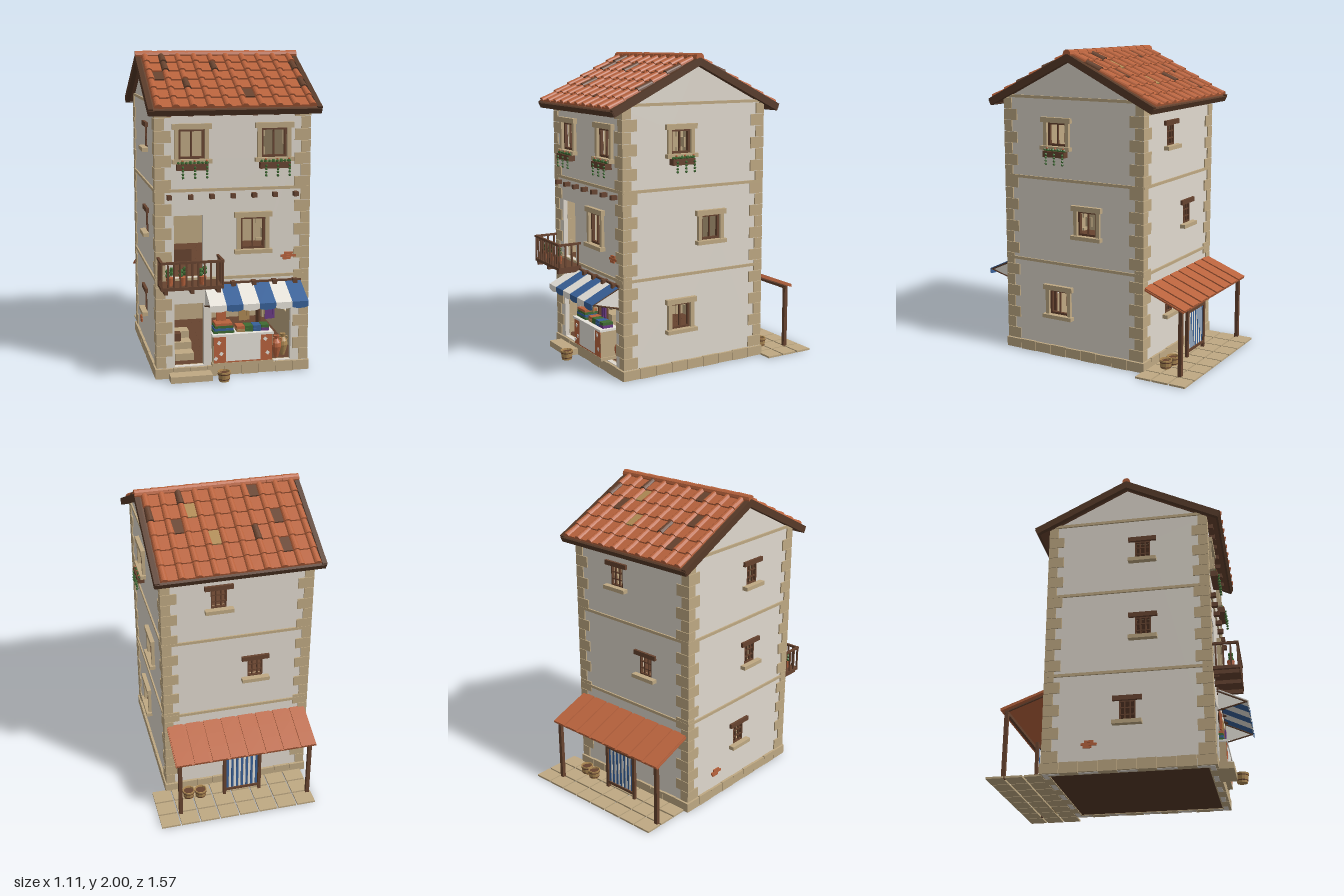
import * as THREE from 'three';

const M = {};
for (const [name, hex] of Object.entries({
  plaster: 0xe0d9ce, stone: 0xbfa983, terracotta: 0xb9633d, wood: 0x67432f, darkWood: 0x573a28,
  ochre: 0xaf8a54, blue: 0x386199, white: 0xe8e4dc, green: 0x3f6b33, purple: 0x6b3a86,
})) M[name] = Object.assign(new THREE.MeshStandardMaterial({ color: hex, side: THREE.DoubleSide, flatShading: true }), { name });

const CX = -0.022, CZ = 0.072, HX = 0.475, HZ = 0.51, PITCH = 0.46;

function add(parent, name, geo, mat, x = 0, y = 0, z = 0) {
  const m = new THREE.Mesh(geo, M[mat]);
  m.name = name;
  m.position.set(x, y, z);
  parent.add(m);
  return m;
}
const box = (p, name, mat, w, h, d, x, y, z) => add(p, name, new THREE.BoxGeometry(w, h, d), mat, x, y, z);
const cyl = (p, name, mat, r1, r2, h, x, y, z, n = 10) => add(p, name, new THREE.CylinderGeometry(r1, r2, h, n), mat, x, y, z);
function group(parent, name, x = 0, y = 0, z = 0, ry = 0) {
  const g = new THREE.Group();
  g.name = name;
  g.position.set(x, y, z);
  g.rotation.y = ry;
  parent.add(g);
  return g;
}
const polygon = pts => new THREE.Shape(pts.map(a => new THREE.Vector2(...a)));

// Extruded wall with rectangular openings
function wallSlab(p, name, mat, hw, eave, apex, holes, depth, z) {
  const s = polygon([[-hw, 0], [hw, 0], [hw, eave], [0, apex], [-hw, eave]]);
  for (const [a, b, c, d] of holes) s.holes.push(polygon([[a, c], [a, d], [b, d], [b, c]]));
  add(p, name, new THREE.ExtrudeGeometry(s, { depth, bevelEnabled: false }), mat, 0, 0, z);
}

function flowerBox(p, u, y, w) {
  const g = group(p, 'flowerBox', u, y, 0.03);
  box(g, 'planter', 'wood', w, 0.038, 0.045, 0, -0.02, 0);
  for (let i = 0; i < 8; i++) {
    const x = (i / 7 - 0.5) * w * 0.9;
    add(g, 'leaves', new THREE.IcosahedronGeometry(0.011 + 0.004 * (i % 2), 0), 'green', x, 0.006, 0.004);
    if (i % 3 === 1) add(g, 'flower', new THREE.IcosahedronGeometry(0.007, 0), 'terracotta', x, 0.018, 0.012);
    if (i % 3 === 1) for (let k = 0; k < 4; k++)
      add(g, 'trailingLeaf', new THREE.IcosahedronGeometry(0.009, 0), 'green', x, -0.02 - k * 0.02, 0.026);
  }
}

// Window: stone surround with timber casement, or timber lintel with bars
function windowTrim(p, [a, b, c, d], rustic) {
  const w = b - a, h = d - c, u = (a + b) / 2, v = (c + d) / 2;
  box(p, 'sill', 'stone', w + 0.08, 0.025, 0.055, u, c - 0.0125, 0.01);
  if (rustic) box(p, 'lintel', 'wood', w + 0.08, 0.03, 0.04, u, d + 0.015, -0.003);
  else {
    box(p, 'lintel', 'stone', w + 0.08, 0.033, 0.045, u, d + 0.016, 0.005);
    for (const s of [-1, 1]) box(p, 'jamb', 'stone', 0.025, h, 0.04, u + s * (w / 2 + 0.0125), v, 0);
  }
  const t = rustic ? 0.008 : 0.014;
  for (const s of [-1, 1]) {
    box(p, 'casementSide', 'wood', t, h, 0.02, u + s * (w - t) / 2, v, -0.01);
    box(p, 'casementRail', 'wood', w, t, 0.02, u, v + s * (h - t) / 2, -0.01);
  }
  for (const f of rustic ? [-0.17, 0.17] : [0]) {
    box(p, 'mullion', 'wood', 0.008, h, 0.012, u + f * w, v, -0.01);
    if (rustic) box(p, 'crossBar', 'wood', w, 0.007, 0.012, u, v + f * h, -0.01);
  }
}

// One side of the house: wall, lining, openings, bands and plinth
function facade(house, name, ry, hw, dist, apex, windows, doors, rustic) {
  const pivot = group(house, name, 0, 0, 0, ry), f = group(pivot, name + 'Face', 0, 0, dist);
  const holes = [...windows, ...doors];
  wallSlab(f, 'wall', 'plaster', hw - 0.001, 1.672, apex, holes, 0.03, -0.03);
  wallSlab(f, 'lining', 'stone', hw - 0.03, 1.665, apex - 0.01, holes, 0.008, -0.0385);
  windows.forEach(w => windowTrim(f, w, rustic));
  for (const y of [0.625, 1.175]) box(f, 'stringCourse', 'stone', hw * 2 + 0.006, 0.018, 0.02, 0, y, 0);
  if (apex > 1.7) box(f, 'gableBand', 'stone', hw * 1.9, 0.018, 0.02, 0, 1.695, 0);
  const n = 9, step = (hw * 2 + 0.03) / n;
  for (let i = 0; i < n; i++) box(f, 'plinthStone', 'stone', step - 0.003, 0.062 + 0.005 * (i % 2), 0.05, (i - 4) * step, 0.033, -0.009);
  return f;
}

// Tiled slope: flat pans and rounded caps, with odd coloured tiles
function tiles(p, cols, rows, step, len, odd) {
  const cap = new THREE.CylinderGeometry(0.02, 0.025, len * 1.12, 8, 1, false, -Math.PI / 2, Math.PI);
  cap.rotateX(-Math.PI / 2);
  for (let r = 0; r < rows; r++) for (let c = 0; c < cols; c++) {
    const x = (c - (cols - 1) / 2) * step, z = (r + 0.5) * len;
    add(p, 'capTile', cap, odd['c' + c + r] || 'terracotta', x, 0.01, z).rotation.x = -0.05;
    if (c < cols - 1)
      box(p, 'panTile', odd['p' + c + r] || 'terracotta', step - 0.004, 0.012, len * 1.08, x + step / 2, 0.01, z).rotation.x = -0.09;
  }
}

function vessel(p, name, mat, pts, x, y, z) {
  add(p, name, new THREE.LatheGeometry(pts.map(a => new THREE.Vector2(...a)), 12), mat, x, y, z);
}
function bucket(p, x, z) {
  const g = group(p, 'bucket', x, 0.006, z);
  vessel(g, 'staves', 'ochre', [[0, 0], [0.032, 0], [0.041, 0.062], [0.035, 0.062], [0.029, 0.012], [0, 0.012]], 0, 0, 0);
  for (const [y, r] of [[0.015, 0.035], [0.047, 0.04]]) cyl(g, 'hoop', 'wood', r + 0.001, r, 0.006, 0, y, 0, 12);
}
function beam(p, name, mat, a, b, r) {
  const A = new THREE.Vector3(...a), B = new THREE.Vector3(...b);
  const m = cyl(p, name, mat, r, r, A.distanceTo(B), 0, 0, 0, 6);
  m.position.copy(A).lerp(B, 0.5);
  m.quaternion.setFromUnitVectors(new THREE.Vector3(0, 1, 0), B.sub(A).normalize());
}

export function createModel() {
  const root = new THREE.Group();
  root.name = 'townhouse';
  const house = group(root, 'house', CX, 0, CZ);
  const win = (u, v0, w, h) => [u - w / 2, u + w / 2, v0, v0 + h];

  // Four walls
  const front = facade(house, 'front', 0, HX, HZ, 1.673,
    [win(-0.258, 1.365, 0.16, 0.18), win(0.252, 1.365, 0.16, 0.18), win(0.122, 0.8, 0.155, 0.2)],
    [[-0.368, -0.188, 0.635, 1.02], [-0.368, -0.185, 0.07, 0.47], [-0.135, 0.372, 0.07, 0.5]], false);
  const right = facade(house, 'plusXSide', Math.PI / 2, HZ, HX, 1.927,
    [win(-0.11, 1.39, 0.14, 0.15), win(0.112, 0.83, 0.14, 0.16), win(-0.108, 0.28, 0.14, 0.165)], [], false);
  facade(house, 'back', Math.PI, HX, HZ, 1.673,
    [win(-0.12, 1.4, 0.1, 0.13), win(0.12, 0.855, 0.1, 0.13), win(-0.12, 0.305, 0.1, 0.13)], [], true);
  const left = facade(house, 'minusXSide', -Math.PI / 2, HZ, HX, 1.927,
    [win(0.098, 1.4, 0.1, 0.13), win(0.098, 0.855, 0.1, 0.13), win(0.0, 0.305, 0.1, 0.13)], [], true);
  flowerBox(front, -0.258, 1.34, 0.19);
  flowerBox(front, 0.252, 1.34, 0.19);
  flowerBox(right, -0.11, 1.362, 0.16);

  // Exposed brick patches
  for (const [f, u, y] of [[front, 0.36, 0.745], [left, -0.22, 0.17]])
    for (const [dx, dy, w] of [[0, 0, 0.05], [0.02, 0.016, 0.075], [-0.02, 0.016, 0.035], [0.01, 0.032, 0.055]])
      box(f, 'exposedBrick', 'terracotta', w, 0.015, 0.014, u + dx - 0.02, y + dy - 0.015, 0.002);

  // Corner stones
  for (const sx of [-1, 1]) for (const sz of [-1, 1]) for (let i = 0; i < 22; i++) {
    const a = i % 2 ? 0.1 : 0.06, b = i % 2 ? 0.06 : 0.1;
    box(house, 'cornerStone', 'stone', a, 0.0705, b, sx * (HX + 0.008 - a / 2), 0.104 + i * 0.0735, sz * (HZ + 0.008 - b / 2));
  }
  // Floors and joist ends
  box(house, 'underside', 'darkWood', HX * 2 - 0.02, 0.05, HZ * 2 - 0.02, 0, 0.03, 0);
  for (const y of [0.063, 0.625, 1.175]) for (let i = 0; i < 12; i++)
    box(house, 'floorBoard', 'wood', HX * 2 - 0.07, 0.014, 0.078, 0, y, (i - 5.5) * 0.0785);
  for (const y of [0.59, 1.137, 1.637]) for (let i = 0; i < 7; i++)
    box(front, 'joistEnd', 'wood', 0.028, 0.028, 0.07, -0.398 + i * 0.131, y, 0.005);

  // Main roof
  const slopeLen = 0.67;
  const oddFront = { c11: 'wood', p02: 'wood', c41: 'wood', c23: 'wood', p54: 'wood', c91: 'wood', c93: 'wood', c10: 'wood' };
  // columns of the rear slope run the opposite way
  const oddBack = { p74: 'wood', c63: 'wood', p72: 'wood', p60: 'wood', p12: 'wood', c20: 'wood', c01: 'wood', p33: 'ochre', p21: 'ochre' };
  for (const [ry, odd] of [[0, oddFront], [Math.PI, oddBack]]) {
    const side = group(house, 'roofSide', 0, 1.962, 0, ry), slope = group(side, 'roofSlope');
    slope.rotation.x = PITCH;
    box(slope, 'roofDeck', 'wood', 1.0, 0.03, slopeLen, 0, -0.016, slopeLen / 2);
    for (const s of [-1, 1]) box(slope, 'bargeBoard', 'darkWood', 0.03, 0.045, slopeLen + 0.005, s * 0.513, -0.012, slopeLen / 2);
    box(slope, 'fascia', 'darkWood', 1.05, 0.035, 0.015, 0, -0.017, slopeLen);
    tiles(slope, 10, 6, 0.104, slopeLen / 6.08, odd);
  }
  for (let i = 0; i < 10; i++)
    cyl(house, 'ridgeTile', 'terracotta', 0.025, 0.028, 0.11, (i - 4.5) * 0.105, 1.972, 0).rotation.z = Math.PI / 2;

  // Rear porch: paving, posts, tiled lean-to
  const porch = group(root, 'porch');
  for (let i = 0; i < 8; i++) for (let k = 0; k < 3; k++)
    box(porch, 'pavingStone', 'stone', 0.122, 0.012, 0.107, -0.417 + i * 0.131, 0.006, -0.735 + k * 0.118);
  for (const x of [-0.455, 0.415]) {
    box(porch, 'porchPost', 'wood', 0.024, 0.42, 0.024, x, 0.21, -0.685);
    beam(porch, 'porchRafter', 'wood', [x, 0.525, -0.44], [x, 0.43, -0.69], 0.008);
  }
  box(porch, 'porchBeam', 'wood', 0.9, 0.02, 0.02, -0.02, 0.423, -0.685);
  const lean = group(group(porch, 'leanTo', CX, 0.54, -0.435, Math.PI), 'leanToSlope');
  lean.rotation.x = 0.375;
  box(lean, 'leanToDeck', 'terracotta', 0.935, 0.01, 0.302, 0, 0, 0.151);
  for (let i = 0; i < 8; i++) for (let k = 0; k < 3; k++)
    box(lean, 'leanToTile', 'terracotta', 0.098, 0.009, 0.1005, (i - 3.5) * 0.118, 0.008 + 0.001 * k, 0.0505 + k * 0.1005);
  bucket(porch, 0.33, -0.54);
  bucket(porch, 0.25, -0.55);

  // Weaving loom
  const loom = group(porch, 'loom', -0.03, 0, -0.57);
  for (const s of [-1, 1]) box(loom, 'loomPost', 'wood', 0.02, 0.32, 0.02, s * 0.12, 0.17, 0);
  for (const y of [0.05, 0.315]) box(loom, 'loomBar', 'wood', 0.26, 0.018, 0.018, 0, y, 0);
  for (let i = 0; i < 13; i++) box(loom, 'thread', i % 2 ? 'white' : 'blue', 0.015, 0.25, 0.005, (i - 6) * 0.0165, 0.185, 0);

  // Balcony
  const balcony = group(root, 'balcony', -0.305, 0, 0.67);
  box(balcony, 'balconyFloor', 'wood', 0.38, 0.02, 0.16, 0, 0.61, 0);
  for (const x of [-0.16, 0, 0.16]) box(balcony, 'balconyBracket', 'wood', 0.022, 0.025, 0.15, x, 0.588, 0);
  box(balcony, 'handrail', 'wood', 0.385, 0.014, 0.016, 0, 0.768, 0.072);
  for (let i = 0; i < 11; i++) box(balcony, 'baluster', 'wood', 0.01, 0.15, 0.01, (i - 5) * 0.037, 0.692, 0.072);
  for (const s of [-1, 1]) {
    box(balcony, 'sideRail', 'wood', 0.016, 0.014, 0.16, s * 0.185, 0.768, 0);
    for (let k = 0; k < 3; k++) box(balcony, 'baluster', 'wood', 0.01, 0.15, 0.01, s * 0.185, 0.692, -0.06 + k * 0.045);
  }
  for (const x of [-0.13, -0.05, 0.07]) {
    cyl(balcony, 'flowerPot', 'terracotta', 0.024, 0.017, 0.05, x, 0.645, 0.025);
    for (let k = 0; k < 4; k++) add(balcony, 'leaves', new THREE.IcosahedronGeometry(0.016, 0), 'green', x + (k % 2 - 0.5) * 0.025, 0.683 + k * 0.012, 0.025);
  }
  box(root, 'chest', 'wood', 0.16, 0.1, 0.08, -0.3, 0.685, 0.2);

  // Striped awning
  const awning = group(root, 'awning');
  for (let i = 0; i < 6; i++) {
    const x = -0.155 + i * 0.102, mat = i % 2 ? 'blue' : 'white';
    box(awning, 'awningStripe', mat, 0.102, 0.006, 0.212, x, 0.545, 0.68).rotation.x = 0.443;
    box(awning, 'valance', mat, 0.102, 0.03, 0.005, x, 0.487, 0.775);
    add(awning, 'scallop', new THREE.CircleGeometry(0.051, 10, Math.PI, Math.PI).scale(1, 0.25, 1), mat, x, 0.473, 0.776);
  }
  const flap = new THREE.ShapeGeometry(polygon([[0.59, 0.575], [0.59, 0.46], [0.77, 0.492]])).rotateY(-Math.PI / 2);
  for (const x of [-0.2, 0.4]) {
    add(awning, 'sideFlap', flap, 'white', x);
    beam(awning, 'awningStrut', 'darkWood', [x, 0.45, 0.585], [x, 0.498, 0.768], 0.005);
    beam(awning, 'awningArm', 'darkWood', [x, 0.58, 0.585], [x, 0.495, 0.768], 0.005);
  }
  box(awning, 'awningBar', 'wood', 0.62, 0.014, 0.014, 0.1, 0.592, 0.592);

  // Shop counter with goods
  const shop = group(root, 'shop');
  box(shop, 'counter', 'stone', 0.375, 0.18, 0.12, 0.033, 0.17, 0.565);
  box(shop, 'counterFront', 'terracotta', 0.372, 0.168, 0.004, 0.033, 0.175, 0.625);
  box(shop, 'counterTop', 'white', 0.39, 0.014, 0.135, 0.033, 0.267, 0.566);
  box(shop, 'counterPanel', 'white', 0.22, 0.16, 0.006, 0.035, 0.18, 0.626);
  box(shop, 'counterFoot', 'stone', 0.39, 0.02, 0.125, 0.033, 0.08, 0.565);
  for (const [x, y] of [[-0.12, 0.22], [-0.105, 0.15], [0.175, 0.23], [0.19, 0.14], [-0.14, 0.12]])
    box(shop, 'counterChip', 'white', 0.02, 0.022, 0.004, x, y, 0.627).rotation.z = x * 5;
  const clothMats = ['green', 'blue', 'green', 'terracotta', 'purple', 'blue', 'green', 'ochre'];
  for (let k = 0; k < 4; k++) box(shop, 'foldedCloth', clothMats[k], 0.13 - 0.008 * k, 0.015, 0.09, -0.085, 0.283 + k * 0.016, 0.565);
  for (let k = 0; k < 8; k++) box(shop, 'foldedCloth', clothMats[7 - k], 0.05, 0.018, 0.07, 0.025 + (k % 4) * 0.052, 0.283 + (k > 3) * 0.019, 0.565);
  box(shop, 'hangingRail', 'wood', 0.52, 0.012, 0.012, 0.1, 0.475, 0.575);
  for (const [x, w, h, mat] of [[-0.1, 0.06, 0.12, 'terracotta'], [0.045, 0.065, 0.125, 'ochre'], [0.21, 0.06, 0.125, 'purple']])
    for (let k = 0; k < 4; k++) box(shop, 'hangingCloth', mat, w / 4, h - 0.008 * (k % 2), 0.008, x + (k - 1.5) * w / 4, 0.472 - h / 2, 0.592 + 0.005 * (k % 2));
  for (const [x, mat] of [[-0.025, 'blue'], [0.13, 'green'], [0.295, 'stone']])
    add(shop, 'hangingRing', new THREE.TorusGeometry(0.019, 0.006, 6, 12), mat, x, 0.443, 0.59);
  box(shop, 'shelf', 'wood', 0.34, 0.015, 0.08, 0.02, 0.39, 0.42);
  for (const x of [-0.14, 0.18]) box(shop, 'shelfPost', 'wood', 0.015, 0.35, 0.07, x, 0.24, 0.42);
  const jar = [[0, 0], [0.013, 0], [0.033, 0.07], [0.03, 0.095], [0.013, 0.12], [0.019, 0.14], [0.011, 0.14]];
  for (const [x, z, mat] of [[0.275, 0.52, 'terracotta'], [0.325, 0.49, 'ochre']]) {
    vessel(shop, 'jar', mat, jar, x, 0.072, z);
    for (const s of [-1, 1]) add(shop, 'jarHandle', new THREE.TorusGeometry(0.016, 0.004, 5, 8), mat, x + s * 0.018, 0.18, z);
  }

  // Entrance: step outside, stair and chest inside
  box(root, 'doorStep', 'stone', 0.26, 0.04, 0.1, -0.3, 0.02, 0.635);
  for (let k = 0; k < 3; k++) box(root, 'stair', 'stone', 0.12, 0.045 * (k + 1), 0.09, -0.31, 0.07 + 0.0225 * (k + 1), 0.43 - k * 0.09);
  box(root, 'smallChest', 'wood', 0.065, 0.05, 0.06, -0.345, 0.185, 0.33);
  bucket(root, -0.105, 0.71);
  return root;
}
